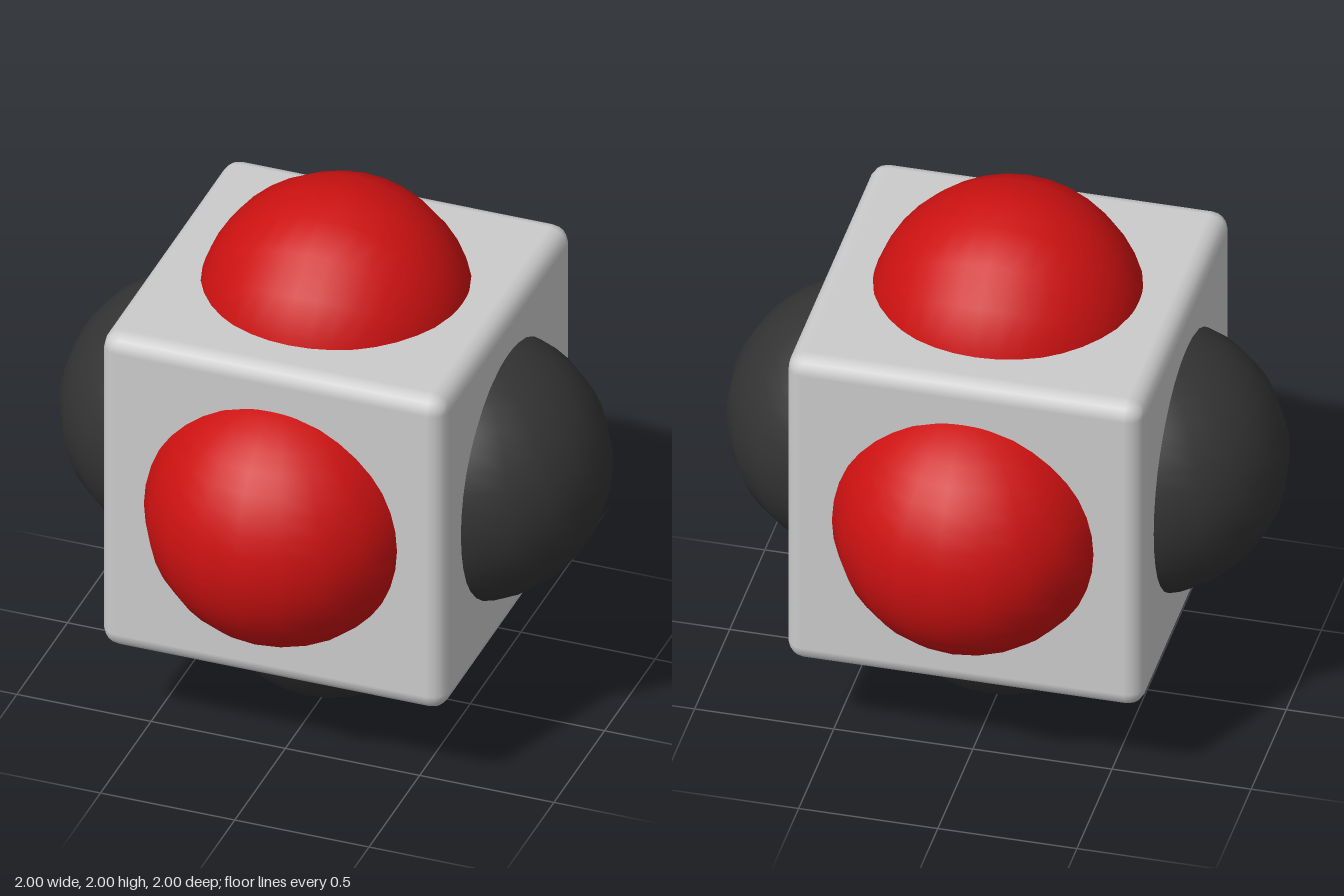
import * as THREE from 'three';
import { RoundedBoxGeometry } from 'three/addons/geometries/RoundedBoxGeometry.js';

const HALF = 0.642;   // half the cube's side
const RADIUS = 0.49;  // ball radius
const OFFSET = 0.51;  // ball centre from the cube's centre

export function createModel() {
  const model = new THREE.Group();
  model.name = 'cubeWithBalls';

  const grey = new THREE.MeshStandardMaterial({ color: 0xcccccc });
  const red = new THREE.MeshStandardMaterial({ color: 0xcc1111 });
  const black = new THREE.MeshStandardMaterial({ color: 0x333333 });

  // Cube with softly bevelled edges
  const cube = new THREE.Mesh(new RoundedBoxGeometry(HALF * 2, HALF * 2, HALF * 2, 2, 0.065), grey);
  cube.name = 'cube';
  cube.position.y = 1;
  model.add(cube);

  // One ball sunk into each face; the upright pair lies with its poles along x
  const upright = new THREE.SphereGeometry(RADIUS, 20, 20);
  const lying = upright.clone().rotateZ(Math.PI / 2);

  const addBall = (name, x, y, z, material) => {
    const ball = new THREE.Mesh(y ? lying : upright, material);
    ball.name = name;
    ball.position.set(x * OFFSET, 1 + y * OFFSET, z * OFFSET);
    model.add(ball);
  };

  addBall('frontBall', 0, 0, 1, red);
  addBall('backBall', 0, 0, -1, red);
  addBall('topBall', 0, 1, 0, red);
  addBall('bottomBall', 0, -1, 0, black);
  addBall('leftBall', 1, 0, 0, black);
  addBall('rightBall', -1, 0, 0, black);

  return model;
}
